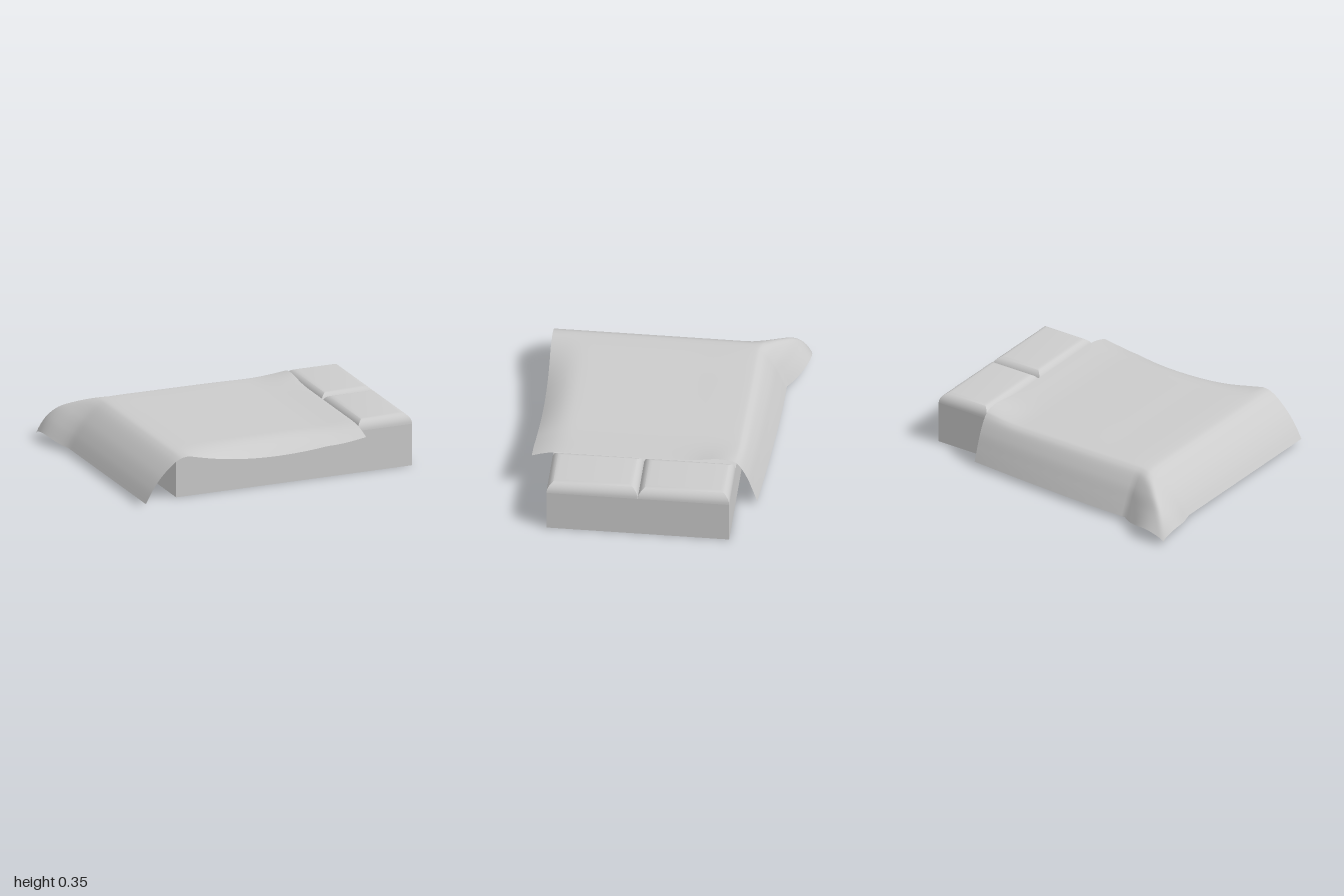
import * as THREE from 'three';
import { toCreasedNormals } from 'three/addons/utils/BufferGeometryUtils.js';

const material = new THREE.MeshStandardMaterial({ color: 0xcccccc, side: THREE.DoubleSide });

const part = (name, geometry) => {
  const mesh = new THREE.Mesh(geometry, material);
  mesh.name = name;
  return mesh;
};

// Stack of rectangles [inset, height], joined by walls, with an optional flat cap
function rectLoft(x0, x1, z0, z1, rings, cap) {
  const pos = [];
  const corners = ([d, y]) => [
    [x0 + d, y, z1 - d], [x1 - d, y, z1 - d], [x1 - d, y, z0 + d], [x0 + d, y, z0 + d],
  ];
  const quad = (a, b, c, d) => pos.push(...a, ...b, ...c, ...a, ...c, ...d);
  for (let i = 0; i < rings.length - 1; i++) {
    const lo = corners(rings[i]), hi = corners(rings[i + 1]);
    for (let k = 0; k < 4; k++) {
      const n = (k + 1) % 4;
      quad(lo[k], lo[n], hi[n], hi[k]);
    }
  }
  if (cap) quad(...corners(rings[rings.length - 1]));
  const g = new THREE.BufferGeometry();
  g.setAttribute('position', new THREE.Float32BufferAttribute(pos, 3));
  return toCreasedNormals(g, 0.5);
}

const spline = (points) => new THREE.SplineCurve(points.map((p) => new THREE.Vector2(...p)));
const clamp01 = (t) => THREE.MathUtils.clamp(t, 0, 1);

// Sheet draped over the foot end and the back side, flaring at their shared corner
function drapedSheet() {
  const nu = 64, nv = 64;
  const across = spline([[-0.92, 0.03], [-0.87, 0.12], [-0.8, 0.21], [-0.7, 0.295], [-0.6, 0.325],
    [-0.3, 0.325], [0.1, 0.323], [0.4, 0.318], [0.62, 0.34]]);
  const along = spline([[-0.7, 0.03], [-0.66, 0.12], [-0.61, 0.22], [-0.54, 0.305], [-0.45, 0.33],
    [-0.1, 0.33], [0.3, 0.33], [0.6, 0.33], [0.7, 0.33], [0.815, 0.325]]);
  const g = new THREE.PlaneGeometry(1, 1, nu, nv);
  const pos = g.attributes.position;
  for (let i = 0; i < pos.count; i++) {
    const p = across.getPoint((i % (nu + 1)) / nu);
    const q = along.getPoint(Math.floor(i / (nu + 1)) / nv);
    const a = clamp01((-0.6 - p.x) / 0.32);    // down the foot end
    const b = clamp01((-0.45 - q.x) / 0.25);   // down the back side
    const f = clamp01((q.x - 0.58) / 0.235);   // out to the front edge
    const w = clamp01((p.x - 0.35) / 0.27);    // towards the pillows
    // soft minimum of the two profiles makes a rounded hip
    const k = 0.04, h = Math.max(k - Math.abs(p.y - q.y), 0) / k;
    let y = Math.min(p.y, q.y) - h * h * k / 4;
    // sagging front edge, lifted end by the pillows, ruffled corner
    y -= f * f * (0.085 * Math.max(0, 1 - (p.x / 0.62) ** 2) + 0.04 * w);
    y += 0.025 * w * w * Math.exp(-(((q.x + 0.4) / 0.13) ** 2));
    y += 0.08 * (b * b * Math.sin(Math.PI * a) * a + 0.7 * a * a * Math.sin(Math.PI * b) * b);
    const x = p.x - 0.07 * a * Math.sin(0.65 * Math.PI * b);
    const z = q.x - 0.13 * b * Math.sin(0.65 * Math.PI * a)
      + 0.06 * b * Math.max(0, (p.x + 0.5) / 1.12) ** 1.5
      - 0.015 * f * Math.max(0, 1 - (p.x / 0.5) ** 2);
    pos.setXYZ(i, x, y, z);
  }
  g.computeVertexNormals();
  return g;
}

export function createModel() {
  const bed = new THREE.Group();
  bed.name = 'bed';

  // Hollow base, open underneath
  bed.add(part('baseWalls', rectLoft(-0.65, 1, -0.5, 0.68, [[0, 0], [0, 0.28]], false)));
  const deck = new THREE.PlaneGeometry(1.27, 1.18).rotateX(-Math.PI / 2).translate(-0.015, 0.28, 0.09);
  bed.add(part('deck', deck));

  // Two pillows with rounded, mitred edges
  const rings = [];
  for (let i = 0; i <= 8; i++) {
    const t = (i / 8) * Math.PI / 2;
    rings.push([0.065 * (1 - Math.cos(t)), 0.28 + 0.07 * Math.sin(t)]);
  }
  for (const [name, z] of [['backPillow', -0.5], ['frontPillow', 0.09]]) {
    bed.add(part(name, rectLoft(0.62, 1, z, z + 0.59, rings, true)));
  }

  bed.add(part('blanket', drapedSheet()));
  return bed;
}
